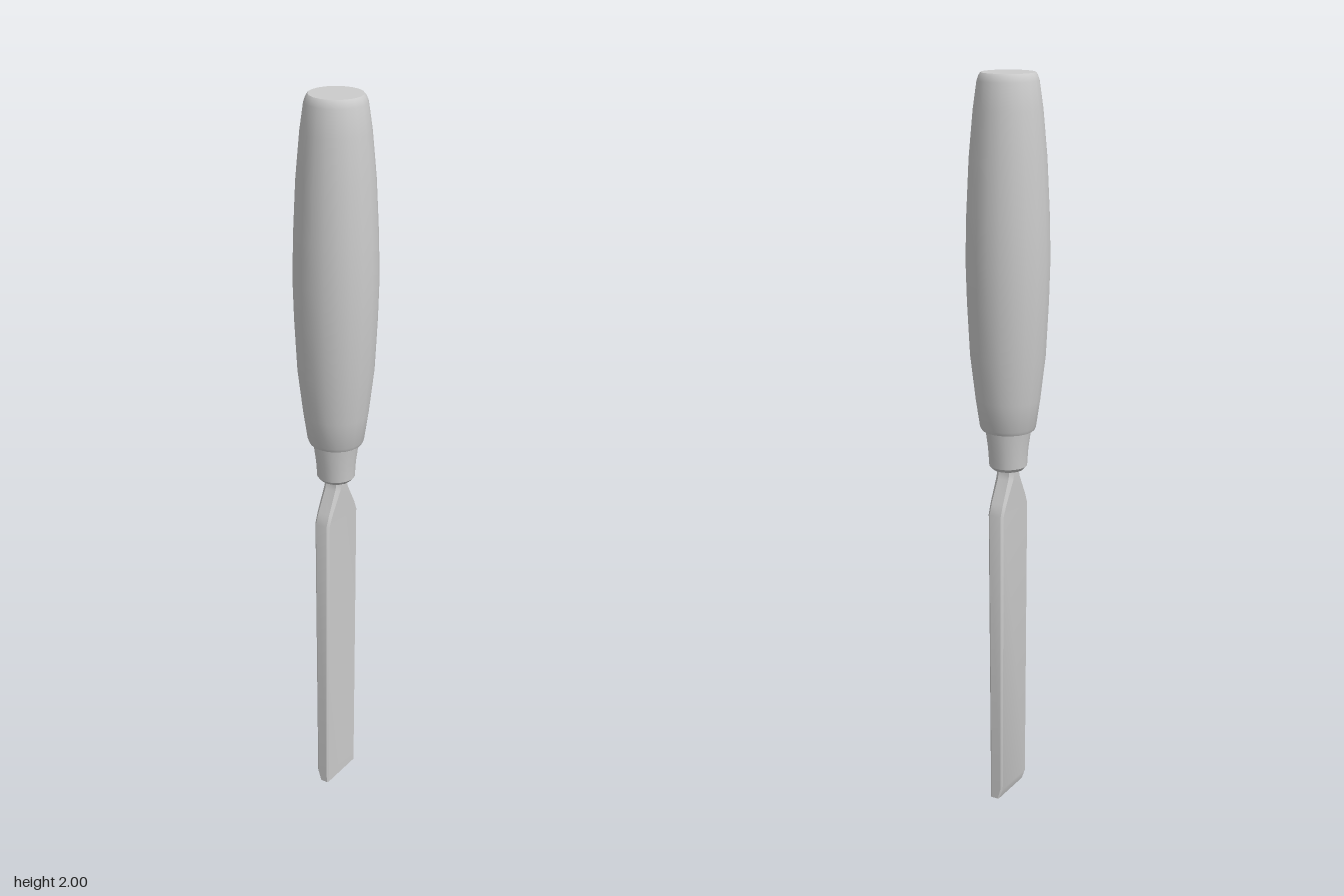
import * as THREE from 'three';
import { toCreasedNormals } from 'three/addons/utils/BufferGeometryUtils.js';

const grey = () => new THREE.MeshStandardMaterial({ color: 0xcccccc });

// Turned part from [radius, y] pairs, bottom to top
function turned(name, points, sides, crease = 0.6) {
  const lathe = new THREE.LatheGeometry(points.map(([r, y]) => new THREE.Vector2(r, y)), sides);
  const mesh = new THREE.Mesh(toCreasedNormals(lathe, crease), grey());
  mesh.name = name;
  return mesh;
}

// Chamfered rectangular section running around the y axis
function section([y, x0, x1, hz, c]) {
  return [
    [x1, -hz + c], [x1, hz - c], [x1 - c, hz], [x0 + c, hz],
    [x0, hz - c], [x0, -hz + c], [x0 + c, -hz], [x1 - c, -hz],
  ].map(([x, z]) => [x, y, z]);
}

// Skin a stack of sections and cap both ends
function loft(rows) {
  const rings = rows.map(section);
  const n = rings[0].length;
  const pos = [];
  const tri = (...corners) => corners.forEach((p) => pos.push(...p));
  for (let i = 0; i < rings.length - 1; i++) {
    for (let j = 0; j < n; j++) {
      const k = (j + 1) % n;
      const [a, b] = [rings[i], rings[i + 1]];
      tri(a[j], b[j], b[k]);
      tri(a[j], b[k], a[k]);
    }
  }
  const bottom = rings[0];
  const top = rings[rings.length - 1];
  for (let j = 1; j < n - 1; j++) {
    tri(bottom[0], bottom[j], bottom[j + 1]);
    tri(top[0], top[j + 1], top[j]);
  }
  const geometry = new THREE.BufferGeometry();
  geometry.setAttribute('position', new THREE.Float32BufferAttribute(pos, 3));
  return toCreasedNormals(geometry, 0.45);
}

export function createModel() {
  const group = new THREE.Group();
  group.name = 'chisel';

  // Barrel-shaped grip
  group.add(turned('handle', [
    [0, 1.075], [0.07, 1.075], [0.075, 1.085], [0.086, 1.16], [0.1, 1.28], [0.107, 1.42],
    [0.11, 1.53], [0.107, 1.65], [0.1, 1.79], [0.089, 1.91], [0.079, 1.98], [0.074, 1.994],
    [0.069, 2], [0, 2],
  ], 20));

  // Collar below the grip
  group.add(turned('ferrule', [
    [0, 0.965], [0.042, 0.965], [0.051, 0.975], [0.054, 1.02], [0.062, 1.08], [0, 1.08],
  ], 16));

  // Blade: bevelled tip, flat body, shoulders narrowing to the neck
  const blade = new THREE.Mesh(loft([
    [0, -0.008, 0.018, 0.07, 0.003],
    [0.03, -0.019, 0.019, 0.07, 0.005],
    [0.85, -0.023, 0.023, 0.071, 0.006],
    [0.88, -0.024, 0.024, 0.059, 0.007],
    [0.94, -0.026, 0.026, 0.028, 0.01],
    [0.955, -0.026, 0.026, 0.023, 0.01],
    [0.98, -0.026, 0.026, 0.023, 0.01],
  ]), grey());
  blade.name = 'blade';
  group.add(blade);

  return group;
}
